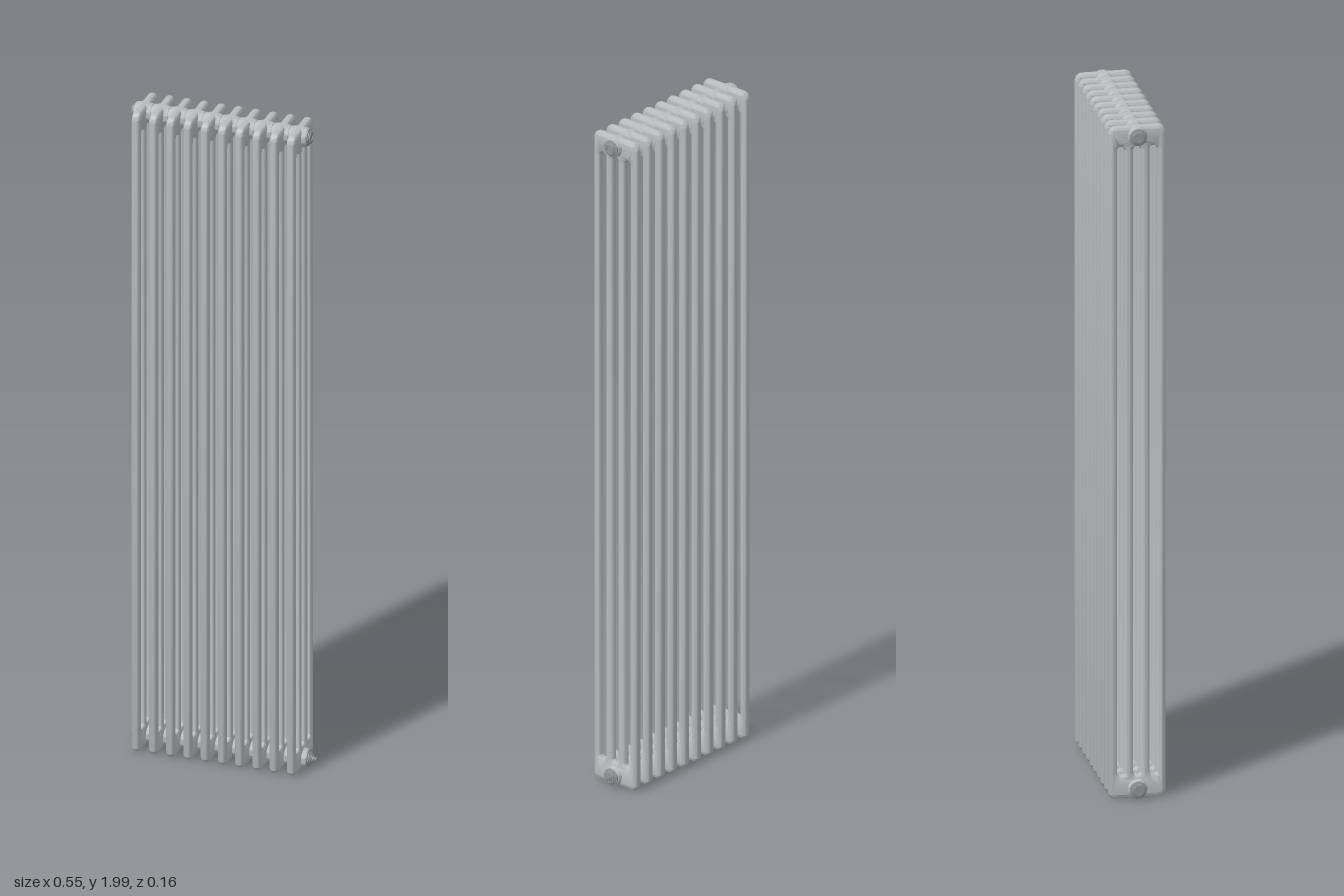
import * as THREE from 'three';
import { toCreasedNormals } from 'three/addons/utils/BufferGeometryUtils.js';

const COUNT = 10, PITCH = 0.0512, FIRST_X = -0.239;
const BOTTOM = 0.007, TOP = 2, HALF_DEPTH = 0.082, R = 0.013;
const PORTS = [0.036, 1.971];

const bodyPaint = new THREE.MeshStandardMaterial({ color: 0xb9bbbd });
bodyPaint.name = 'grey enamel';
const fittingMetal = new THREE.MeshStandardMaterial({ color: 0x909396 });
fittingMetal.name = 'fitting metal';

function roundedRect(target, x0, x1, y0, y1, r) {
  target.moveTo(x0 + r, y0);
  target.lineTo(x1 - r, y0);
  target.absarc(x1 - r, y0 + r, r, -Math.PI / 2, 0);
  target.lineTo(x1, y1 - r);
  target.absarc(x1 - r, y1 - r, r, 0, Math.PI / 2);
  target.lineTo(x0 + r, y1);
  target.absarc(x0 + r, y1 - r, r, Math.PI / 2, Math.PI);
  target.lineTo(x0, y0 + r);
  target.absarc(x0 + r, y0 + r, r, Math.PI, Math.PI * 1.5);
  return target;
}

// One section: four round columns joined by a header at each end
function sectionGeometry() {
  const bevel = R - 0.0004;
  const shape = roundedRect(new THREE.Shape(), -HALF_DEPTH, HALF_DEPTH, BOTTOM, TOP, 0.022);
  const slotHalf = 0.0099;
  for (const z of [-0.0465, 0, 0.0465]) {
    shape.holes.push(roundedRect(new THREE.Path(), z - slotHalf, z + slotHalf, 0.074, 1.938, slotHalf - 0.0002));
  }
  const g = new THREE.ExtrudeGeometry(shape, {
    depth: 0.0004, bevelEnabled: true, bevelSize: bevel, bevelThickness: R - 0.0002,
    bevelOffset: -bevel, bevelSegments: 5, curveSegments: 6,
  });
  g.translate(0, 0, -0.0002);
  g.rotateY(Math.PI / 2);
  return toCreasedNormals(g, 0.8);
}

// Turned part along +x from [x, radius] pairs
function turned(profile, sides = 28) {
  const g = new THREE.LatheGeometry(profile.map(([x, r]) => new THREE.Vector2(r, x)), sides);
  g.rotateZ(-Math.PI / 2);
  return toCreasedNormals(g, 0.6);
}

export function createModel() {
  const model = new THREE.Group();
  model.name = 'columnRadiator';
  const add = (parent, geometry, material, name, x, y) => {
    const mesh = new THREE.Mesh(geometry, material);
    mesh.name = name;
    mesh.position.set(x, y, 0);
    parent.add(mesh);
    return mesh;
  };

  const section = sectionGeometry();
  const half = [[0.008, 0.0285], [0.0125, 0.0285], [0.0145, 0.0272], [0.018, 0.0265],
    [0.0225, 0.0265], [0.0242, 0.0255], [0.0246, 0.0242], [0.0256, 0.0242]];
  const hub = turned([...half.slice().reverse().map(([x, r]) => [-x, r]), ...half]);
  const endCap = turned([[0, 0.0245], [0.003, 0.0245], [0.0035, 0.0235], [0.0035, 0]]);

  for (let i = 0; i < COUNT; i++) {
    const x = FIRST_X + i * PITCH;
    add(model, section, bodyPaint, 'columnSection', x, 0);
    for (const y of PORTS) add(model, hub, bodyPaint, 'portHub', x, y);
  }

  // Plug with a hexagonal collar and a recessed socket
  const hexCollar = turned([[0.003, 0.021], [0.0062, 0.021], [0.007, 0.0195], [0.007, 0]], 6);
  const socketRing = turned([[0.006, 0.0165], [0.0095, 0.0165], [0.0102, 0.0155],
    [0.0102, 0.009], [0.0075, 0.009], [0.0075, 0]], 24);
  // Stepped bleed valve
  const valve = turned([[0.006, 0.0125], [0.013, 0.0125], [0.013, 0.0085], [0.018, 0.0085],
    [0.018, 0.0045], [0.0245, 0.0045], [0.0245, 0]], 16);

  for (const side of [-1, 1]) {
    const endX = side < 0 ? FIRST_X - PITCH / 2 : FIRST_X + (COUNT - 0.5) * PITCH;
    for (const y of PORTS) {
      const fitting = new THREE.Group();
      fitting.name = 'endFitting';
      fitting.position.set(endX, y, 0);
      if (side < 0) fitting.rotation.y = Math.PI;
      add(fitting, endCap, fittingMetal, 'sealingRing', 0, 0);
      add(fitting, hexCollar, fittingMetal, 'hexCollar', 0, 0);
      add(fitting, socketRing, fittingMetal, 'socketRing', 0, 0);
      if (side > 0 && y < 1) add(fitting, valve, fittingMetal, 'bleedValve', 0, 0);
      model.add(fitting);
    }
  }
  return model;
}
